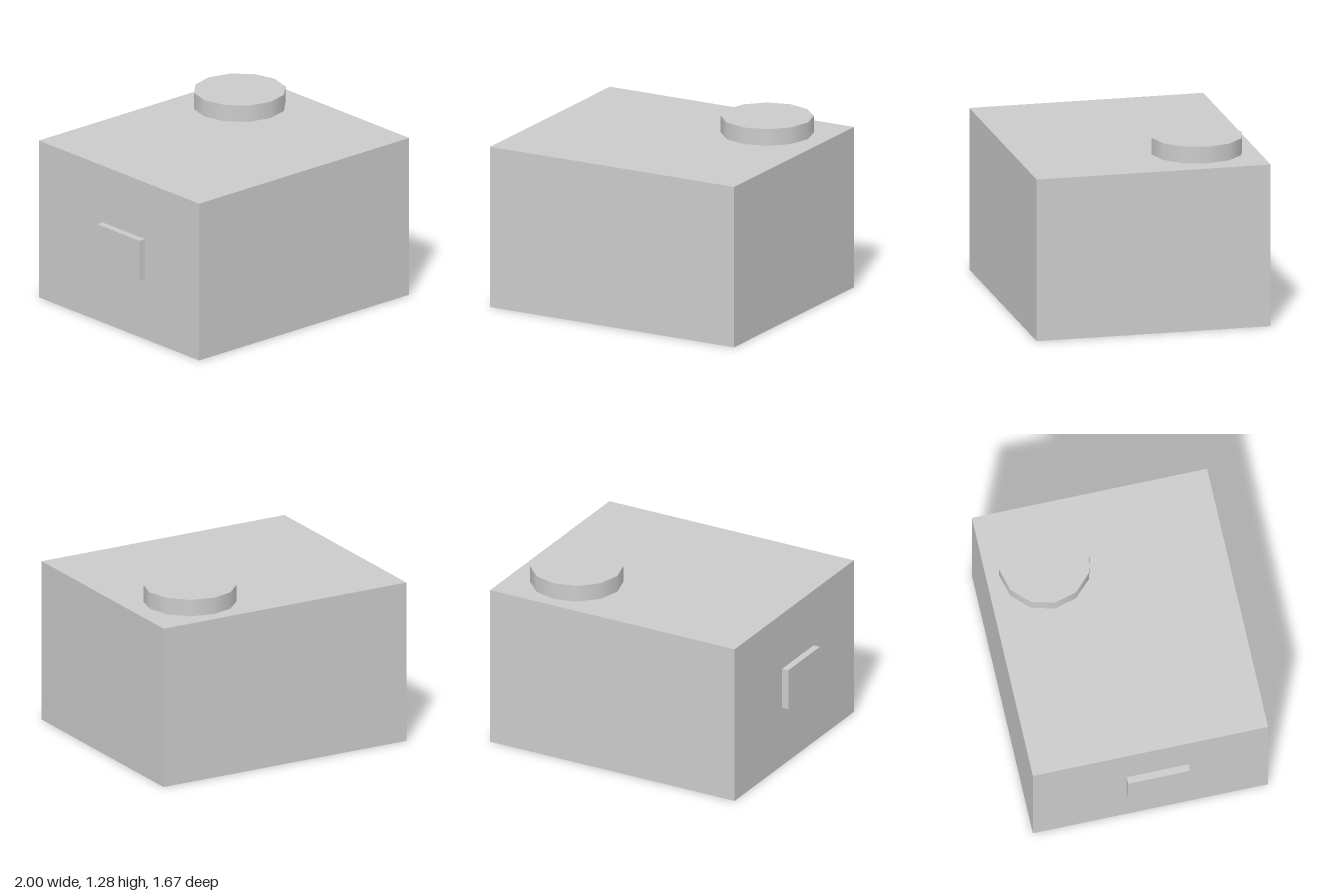
import * as THREE from 'three';

export function createModel() {
  const model = new THREE.Group();
  const material = new THREE.MeshStandardMaterial({ color: 0xcccccc });

  const addPart = (name, geometry, x, y, z) => {
    const mesh = new THREE.Mesh(geometry, material);
    mesh.name = name;
    mesh.position.set(x, y, z);
    model.add(mesh);
  };

  // Main block
  addPart('body', new THREE.BoxGeometry(1.95, 1.16, 1.67), 0.025, 0.58, 0);

  // Twelve-sided round lid towards the back left corner
  addPart('roundLid', new THREE.CylinderGeometry(0.323, 0.323, 0.12, 12), 0.545, 1.22, -0.42);

  // Thin plate on the right side
  addPart('sidePlate', new THREE.BoxGeometry(0.05, 0.3, 0.44), -0.975, 0.59, 0.05);

  return model;
}
